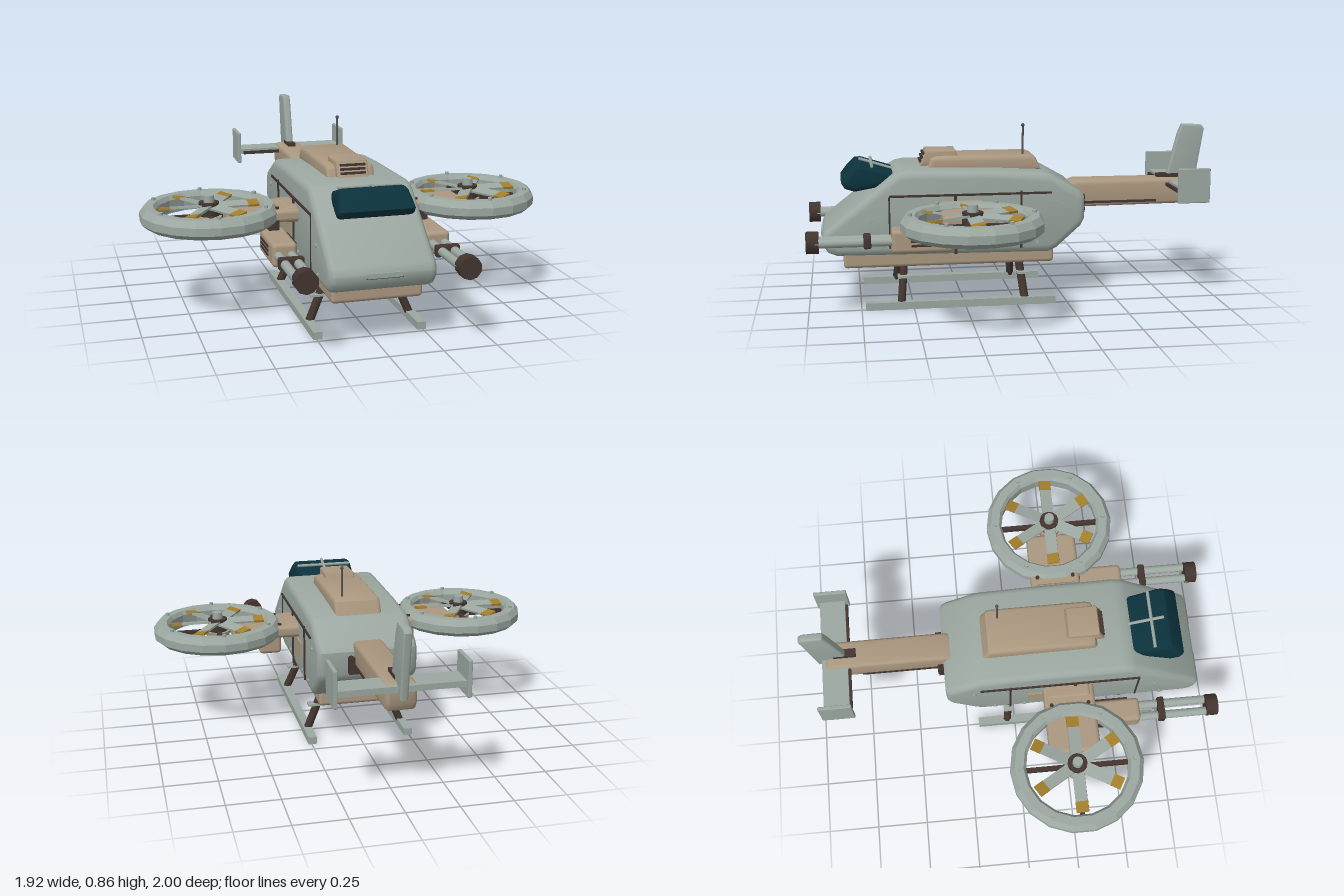
import * as THREE from 'three';
import { toCreasedNormals } from 'three/addons/utils/BufferGeometryUtils.js';
import { RoundedBoxGeometry } from 'three/addons/geometries/RoundedBoxGeometry.js';

const material = (name, color) => {
  const m = new THREE.MeshStandardMaterial({ color });
  m.name = name;
  return m;
};

export function createModel() {
  const grey = material('greyGreenPaint', 0x9ca8a1);
  const tan = material('tanPaint', 0xab9880);
  const dark = material('darkMetal', 0x43352f);
  const glass = material('tealGlass', 0x0c323c);
  const gold = material('goldTip', 0xa37f2c);
  const iron = material('antennaGrey', 0x535855);

  const model = new THREE.Group();
  model.name = 'tiltRotorCraft';

  const add = (parent, name, geo, mat, x = 0, y = 0, z = 0) => {
    const mesh = new THREE.Mesh(geo, mat);
    mesh.name = name;
    mesh.position.set(x, y, z);
    parent.add(mesh);
    return mesh;
  };
  const box = (parent, name, mat, size, pos, r = 0) => add(parent, name,
    r ? new RoundedBoxGeometry(...size, 2, r) : new THREE.BoxGeometry(...size), mat, ...pos);
  // cylinder between two points
  const rod = (parent, name, mat, a, b, r, sides = 10) => {
    const p = new THREE.Vector3(...a), q = new THREE.Vector3(...b);
    const mesh = add(parent, name, new THREE.CylinderGeometry(r, r, p.distanceTo(q), sides), mat);
    mesh.position.copy(p).lerp(q, 0.5);
    mesh.quaternion.setFromUnitVectors(new THREE.Vector3(0, 1, 0), q.sub(p).normalize());
    return mesh;
  };
  // side profile of [z, y] points, extruded across x with rounded edges
  const slab = (points, width, bevel) => {
    const shape = new THREE.Shape(points.map(p => new THREE.Vector2(...p)));
    const g = new THREE.ExtrudeGeometry(shape, {
      depth: width - 2 * bevel, bevelEnabled: bevel > 0, bevelThickness: bevel,
      bevelSize: bevel, bevelOffset: -bevel, bevelSegments: 3,
    });
    g.translate(0, 0, -(width - 2 * bevel) / 2);
    g.rotateY(-Math.PI / 2);
    return toCreasedNormals(g, 0.6);
  };

  // Fuselage and belly
  add(model, 'fuselage', slab([
    [0.86, 0.262], [0.9, 0.278], [0.925, 0.315], [0.93, 0.35], [0.915, 0.385],
    [0.59, 0.64], [0.56, 0.657], [0.52, 0.664], [0.1, 0.655], [-0.13, 0.642], [-0.17, 0.632],
    [-0.315, 0.55], [-0.338, 0.52], [-0.338, 0.41], [-0.32, 0.375], [-0.2, 0.268], [-0.16, 0.25],
  ], 0.49, 0.035), grey);
  box(model, 'bellyPan', tan, [0.42, 0.08, 1.02], [0, 0.235, 0.32], 0.018);
  box(model, 'noseSlot', grey, [0.16, 0.022, 0.012], [0, 0.345, 0.929]);
  box(model, 'noseSlotShadow', dark, [0.165, 0.005, 0.012], [0, 0.333, 0.926]);

  // Canopy, tapering to the back
  const canopy = slab([
    [0.77, 0.56], [0.815, 0.575], [0.833, 0.605], [0.8, 0.65], [0.765, 0.685],
    [0.735, 0.688], [0.56, 0.635], [0.57, 0.59],
  ], 0.35, 0.022);
  const cp = canopy.attributes.position;
  for (let i = 0; i < cp.count; i++) {
    const back = THREE.MathUtils.clamp((0.77 - cp.getZ(i)) / 0.2, 0, 1);
    const high = THREE.MathUtils.clamp((cp.getY(i) - 0.61) / 0.08, 0, 1);
    cp.setX(i, cp.getX(i) * (1 - 0.17 * Math.max(back, high * 0.7)));
  }
  canopy.deleteAttribute('normal');
  add(model, 'canopy', toCreasedNormals(canopy, 0.6), glass);
  rod(model, 'canopyFrameLong', grey, [0, 0.697, 0.745], [0, 0.637, 0.56], 0.008, 8);
  rod(model, 'canopyFrameCross', grey, [-0.145, 0.68, 0.685], [0.145, 0.68, 0.685], 0.008, 8);

  // Roof engine housing with intake
  add(model, 'engineHousing', slab([
    [0.42, 0.64], [0.40, 0.7], [0.37, 0.712], [-0.09, 0.712], [-0.115, 0.7], [-0.145, 0.635],
  ], 0.23, 0.02), tan);
  add(model, 'intake', slab([
    [0.45, 0.665], [0.42, 0.738], [0.275, 0.738], [0.25, 0.67],
  ], 0.15, 0.008), tan);
  for (let i = 0; i < 3; i++) {
    box(model, 'intakeSlat', dark, [0.12, 0.01, 0.02], [0, 0.684 + i * 0.018, 0.441 - i * 0.0075]);
  }
  rod(model, 'antenna', iron, [0.065, 0.64, -0.058], [0.065, 0.85, -0.058], 0.005, 8);
  add(model, 'antennaTip', new THREE.SphereGeometry(0.009, 8, 6), iron, 0.065, 0.855, -0.058);

  // Tail boom, fin and stabiliser
  add(model, 'tailBoom', slab([
    [-0.28, 0.435], [-0.9, 0.44], [-0.92, 0.475], [-0.92, 0.545], [-0.9, 0.568], [-0.33, 0.57], [-0.28, 0.55],
  ], 0.14, 0.018), tan);
  box(model, 'boomCollar', dark, [0.2, 0.08, 0.06], [0, 0.455, -0.335]);
  add(model, 'tailFin', slab([
    [-0.8, 0.54], [-0.865, 0.79], [-0.885, 0.838], [-0.985, 0.833], [-1, 0.815], [-0.95, 0.5],
  ], 0.038, 0.008), grey);
  box(model, 'finRoot', dark, [0.04, 0.03, 0.11], [0, 0.572, -0.815]);
  box(model, 'stabiliser', grey, [0.58, 0.028, 0.125], [0, 0.545, -0.865]);
  box(model, 'stabiliserHinge', dark, [0.54, 0.016, 0.014], [0, 0.54, -0.797]);

  for (const s of [-1, 1]) {
    const side = new THREE.Group();
    side.name = s > 0 ? 'leftSide' : 'rightSide';
    model.add(side);
    const blk = (name, mat, size, [x, y, z], r) => box(side, name, mat, size, [s * x, y, z], r);
    const bar = (name, mat, [x, y, z], [u, v, w], r, n) =>
      rod(side, name, mat, [s * x, y, z], [s * u, v, w], r, n);

    // Tail end plate, boom trim and exhaust stubs
    blk('tailEndPlate', grey, [0.018, 0.17, 0.16], [0.295, 0.57, -0.865], 0.004);
    blk('boomTrim', dark, [0.008, 0.012, 0.4], [0.071, 0.46, -0.54]);
    for (let i = 0; i < 3; i++) {
      bar('exhaustStub', dark, [0.088, 0.43 + i * 0.03, -0.33], [0.088, 0.435 + i * 0.03, -0.368], 0.012, 8);
    }

    // Door rail, panel seams and rivets
    blk('doorRail', dark, [0.012, 0.01, 0.78], [0.247, 0.548, 0.22]);
    blk('frontSeam', dark, [0.008, 0.25, 0.008], [0.245, 0.42, 0.61]);
    blk('doorSeam', dark, [0.014, 0.28, 0.014], [0.246, 0.4, 0.295]);
    blk('rearSeam', dark, [0.014, 0.28, 0.01], [0.246, 0.42, -0.022]);
    blk('accessPanel', tan, [0.01, 0.095, 0.17], [0.248, 0.397, 0.15]);
    for (const [y, z] of [[0.305, 0.735], [0.305, 0.38], [0.305, 0.05], [0.305, -0.1], [0.5, -0.2], [0.43, 0.7]]) {
      bar('rivet', grey, [0.24, y, z], [0.252, y, z], 0.01, 8);
    }

    // Landing skid
    blk('skid', grey, [0.042, 0.036, 0.92], [0.245, 0.018, 0.27]);
    for (const [top, low] of [[0.54, 0.56], [-0.02, -0.04]]) {
      bar('skidStrut', dark, [0.16, 0.215, top], [0.242, 0.025, low], 0.02, 8);
      blk('skidStep', grey, [0.065, 0.01, 0.05], [0.205, 0.15, (top + low) / 2]);
    }

    // Wing stub
    blk('wing', tan, [0.37, 0.06, 0.25], [0.395, 0.483, 0.26], 0.02);
    blk('wingRoot', tan, [0.08, 0.075, 0.21], [0.265, 0.483, 0.26], 0.015);
    for (const z of [0.17, 0.35]) bar('wingBolt', dark, [0.34, 0.51, z], [0.34, 0.522, z], 0.01, 8);

    // Gun pod with twin barrels
    blk('gunPod', tan, [0.115, 0.112, 0.29], [0.363, 0.365, 0.465], 0.02);
    blk('podMount', dark, [0.05, 0.06, 0.08], [0.363, 0.437, 0.35]);
    blk('podBrace', dark, [0.012, 0.03, 0.17], [0.303, 0.39, 0.47]);
    for (let i = 0; i < 3; i++) {
      blk('podVent', dark, [0.012, 0.011, 0.15], [0.418, 0.347 + i * 0.02, 0.445]);
    }
    for (const x of [0.333, 0.393]) bar('barrel', grey, [x, 0.365, 0.59], [x, 0.365, 0.96], 0.021, 12);
    blk('barrelClamp', dark, [0.115, 0.055, 0.035], [0.363, 0.365, 0.72], 0.008);
    bar('muzzle', dark, [0.363, 0.365, 0.942], [0.363, 0.365, 1], 0.053, 10);

    // Ducted rotor
    const rotor = new THREE.Group();
    rotor.name = 'rotor';
    rotor.position.set(s * 0.643, 0, 0.26);
    side.add(rotor);
    const ring = new THREE.LatheGeometry([
      [0.25, 0.45], [0.295, 0.445], [0.322, 0.468], [0.322, 0.505], [0.3, 0.535], [0.258, 0.535], [0.245, 0.515], [0.25, 0.45],
    ].map(p => new THREE.Vector2(...p)), 18);
    add(rotor, 'duct', toCreasedNormals(ring, 0.2), grey);
    add(rotor, 'hub', new THREE.CylinderGeometry(0.048, 0.048, 0.07, 12), dark, 0, 0.51, 0);
    add(rotor, 'hubCap', new THREE.CylinderGeometry(0.024, 0.026, 0.035, 10), grey, 0, 0.56, 0);
    add(rotor, 'hubBase', new THREE.CylinderGeometry(0.062, 0.055, 0.045, 12), tan, 0, 0.459, 0);
    for (let i = 0; i < 2; i++) {
      box(rotor, 'ductStrut', dark, [0.5, 0.022, 0.022], [0, 0.478, 0]).rotation.y = i * Math.PI / 2;
    }
    for (let i = 0; i < 6; i++) {
      const arm = new THREE.Group();
      arm.name = 'blade';
      arm.position.y = 0.527;
      arm.rotation.set(0, i * Math.PI / 3, 0);
      rotor.add(arm);
      box(arm, 'bladeRoot', grey, [0.145, 0.01, 0.058], [0.11, 0, 0]).rotation.x = 0.2;
      box(arm, 'bladeTip', gold, [0.052, 0.011, 0.06], [0.208, 0, 0]).rotation.x = 0.2;
      const a = (i + 0.5) * Math.PI / 3;
      add(rotor, 'ductBolt', new THREE.CylinderGeometry(0.01, 0.01, 0.016, 8), grey,
        Math.cos(a) * 0.278, 0.539, Math.sin(a) * 0.278);
    }
  }
  return model;
}
